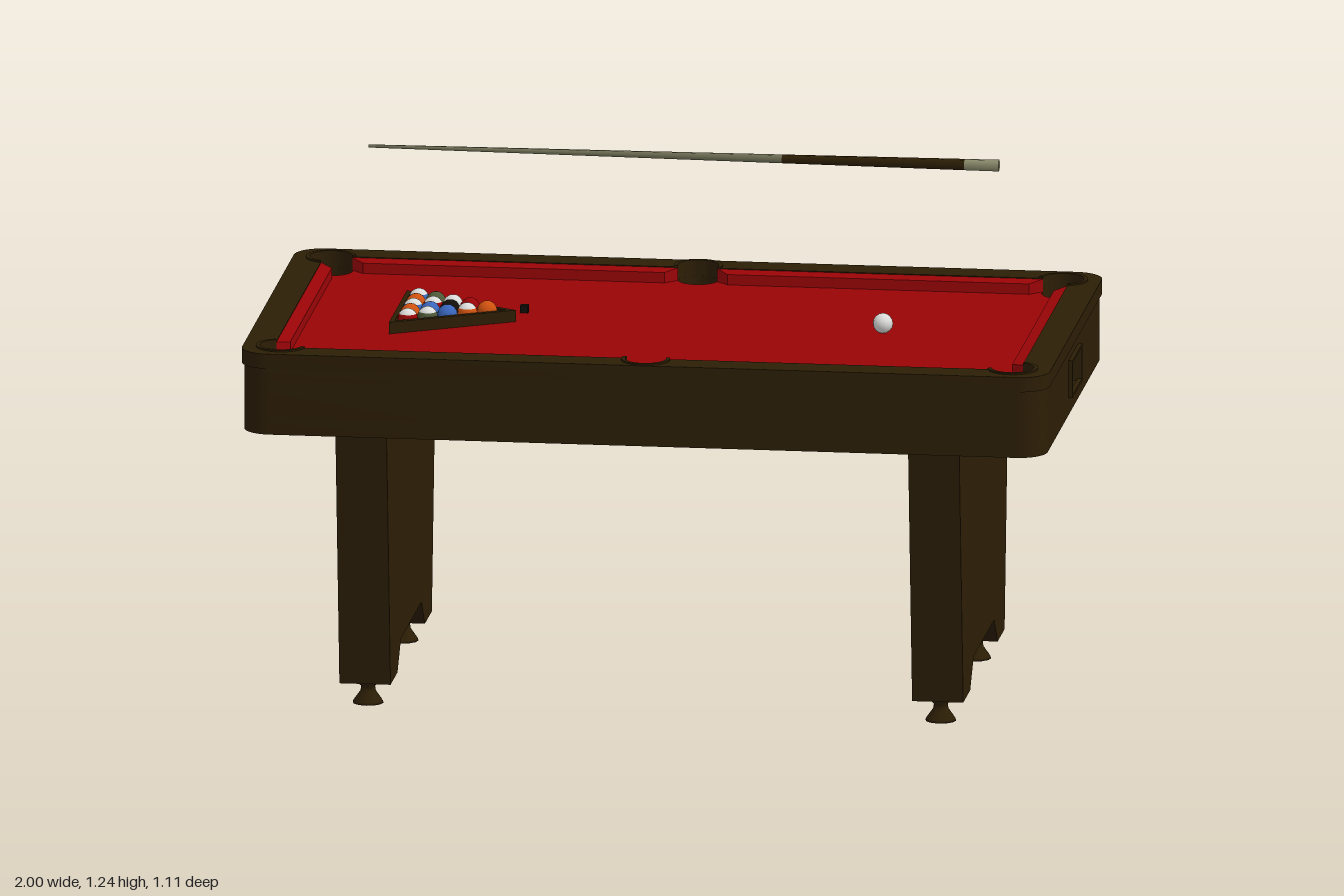
import * as THREE from 'three';
import { toCreasedNormals } from 'three/addons/utils/BufferGeometryUtils.js';

const PI = Math.PI;
const mat = (name, color, side = THREE.FrontSide) => {
  const m = new THREE.MeshStandardMaterial({ color, side });
  m.name = name;
  return m;
};

export function createModel() {
  const model = new THREE.Group();
  model.name = 'billiardTable';
  const wood = mat('darkWood', 0x2c1e05, THREE.DoubleSide);
  const felt = mat('redFelt', 0x9a0406);
  const white = mat('ballWhite', 0xdcdcda);
  const orange = mat('ballOrange', 0xd0520f);
  const blue = mat('ballBlue', 0x3a66bc);
  const olive = mat('ballOlive', 0x4f5a38);
  const maple = mat('cueShaft', 0x6f6f55);
  const pale = mat('cueButt', 0x8a8a6c);
  const black = mat('ballBlack', 0x120e08);

  const add = (name, geo, material, x = 0, y = 0, z = 0, parent = model) => {
    const m = new THREE.Mesh(geo, material);
    m.name = name;
    m.position.set(x, y, z);
    parent.add(m);
    return m;
  };
  const poly = (pts) => new THREE.Shape(pts.map(([x, y]) => new THREE.Vector2(x, y)));
  const rect = (w, d) => poly([[w, -d], [w, d], [-w, d], [-w, -d]]);
  // plan shape (x, -z) raised from y0 to y1
  const slab = (shape, y0, y1) => {
    const g = new THREE.ExtrudeGeometry(shape, { depth: y1 - y0, bevelEnabled: false, curveSegments: 10 });
    g.rotateX(-PI / 2).translate(0, y0, 0);
    return toCreasedNormals(g, 0.6);
  };
  // rounded plan outline, optionally notched at both ends
  const outline = (w, d, r, notch) => {
    const s = new THREE.Shape();
    [[1, 1], [-1, 1], [-1, -1], [1, -1]].forEach(([sx, sy], i) => {
      s.absarc(sx * (w - r), sy * (d - r), r, i * PI / 2, (i + 1) * PI / 2, false);
      if (notch && i % 2 === 1) {
        const n = 0.082;
        [[w, -n], [w - 0.16, -n], [w - 0.16, n], [w, n]].forEach(([x, y]) => s.lineTo(sx * x, sx * y));
      }
    });
    return s;
  };

  // pockets: centre, radius and arc lying outside the playing rectangle
  const W = 0.92, D = 0.476, CX = 0.902, CZ = 0.465, SZ = 0.49, RC = 0.052, RS = 0.05;
  const a = Math.asin((SZ - D) / RS), b = Math.acos((W - CX) / RC), c = Math.asin((D - CZ) / RC);
  const pockets = [
    [CX, CZ, RC, -b, PI - c], [0, SZ, RS, -a, PI + a], [-CX, CZ, RC, c, PI + b],
    [-CX, -CZ, RC, PI - b, 2 * PI - c], [0, -SZ, RS, PI - a, 2 * PI + a], [CX, -CZ, RC, PI + c, 2 * PI + b],
  ];
  const playArea = (shape, inward) => {
    pockets.forEach(([x, y, r, s, e]) => shape.absarc(x, y, r, s, e, inward));
    shape.closePath();
    return shape;
  };

  // cabinet in three layers: base, layer with ball returns, pocket layer
  const base = outline(0.99, 0.55, 0.07);
  base.holes.push(rect(0.77, 0.5));
  add('cabinetBase', slab(base, 0.72, 0.765), wood);
  const middle = outline(0.99, 0.55, 0.07, true);
  middle.holes.push(rect(0.77, 0.5));
  add('cabinetMiddle', slab(middle, 0.765, 0.855), wood);
  const upper = outline(0.99, 0.55, 0.07);
  pockets.forEach(([x, y, r]) => {
    const h = new THREE.Path();
    h.absarc(x, y, r, 0, 2 * PI, false);
    upper.holes.push(h);
  });
  add('cabinetTop', slab(upper, 0.855, 0.886), wood);
  add('underside', new THREE.BoxGeometry(1.56, 0.014, 1.02), wood, 0, 0.848, 0);

  // ball return frames and linings at both ends
  const frame = rect(0.093, 0.047);
  frame.holes.push(rect(0.084, 0.04));
  for (const s of [1, -1]) {
    const g = new THREE.ExtrudeGeometry(frame, { depth: 0.012, bevelEnabled: false });
    g.rotateY(PI / 2);
    add('returnFrame', g, wood, s * 0.994 - 0.006, 0.81, 0);
    add('returnLining', new THREE.BoxGeometry(0.15, 0.004, 0.16), felt, s * 0.91, 0.852, 0);
  }

  // playing bed, rail and pocket rims
  add('bed', slab(playArea(new THREE.Shape(), true), 0.885, 0.889), felt);
  const rail = outline(0.996, 0.553, 0.072);
  rail.holes.push(playArea(new THREE.Path(), false));
  add('rail', slab(rail, 0.886, 0.923), wood);
  pockets.forEach(([x, y, r, s, e]) => {
    const rim = new THREE.Shape();
    rim.absarc(x, y, r + 0.01, s, e, false);
    rim.absarc(x, y, r, e, s, true);
    add('pocketRim', slab(rim, 0.921, 0.927), wood);
  });

  // cushions, mitred at the pockets, with the top sloping to the nose
  const cushion = (len, x, z, turn) => {
    const h = len / 2, t = 0.03;
    const g = slab(poly([[-h, 0], [h, 0], [h - t, t], [-h + t, t]]), 0.888, 0.921);
    const p = g.attributes.position;
    for (let i = 0; i < p.count; i++) {
      if (p.getZ(i) < -0.02 && p.getY(i) > 0.9) p.setY(i, 0.915);
    }
    g.computeVertexNormals();
    add('cushion', g, felt, x, 0, z).rotation.y = turn;
  };
  const cornerEnd = CX - RC * Math.cos(c), sideEnd = RS * Math.cos(a);
  for (const s of [1, -1]) {
    cushion(2 * (CZ - RC * Math.sin(b)), s * W, 0, s * PI / 2);
    for (const k of [1, -1]) {
      cushion(cornerEnd - sideEnd, k * (cornerEnd + sideEnd) / 2, s * D, s > 0 ? 0 : PI);
    }
  }

  // panel legs with a cut-out foot line, and levelling feet
  const legShape = poly([[0.385, 0.06], [0.475, 0.845], [-0.475, 0.845], [-0.385, 0.06],
    [-0.255, 0.06], [-0.19, 0.13], [0.19, 0.13], [0.255, 0.06]]);
  const legGeo = new THREE.ExtrudeGeometry(legShape, { depth: 0.126, bevelEnabled: false });
  legGeo.translate(0, 0, -0.063).rotateY(PI / 2);
  const footGeo = new THREE.LatheGeometry([[0, 0], [0.038, 0], [0.036, 0.006], [0.019, 0.03], [0.017, 0.042],
    [0.026, 0.05], [0.026, 0.062]].map(([x, y]) => new THREE.Vector2(x, y)), 12);
  for (const s of [1, -1]) {
    add('leg', legGeo, wood, s * 0.706, 0, 0);
    for (const k of [1, -1]) add('foot', footGeo, wood, s * 0.706, 0, k * 0.325);
  }

  // triangular rack
  const rack = poly([[-0.676, -0.168], [-0.385, 0], [-0.676, 0.168]]);
  rack.holes.push(poly([[-0.664, -0.146], [-0.409, 0], [-0.664, 0.146]]));
  add('rack', slab(rack, 0.889, 0.918), wood);

  // balls: plain, or white with a coloured band
  const R = 0.025;
  const plain = new THREE.SphereGeometry(R, 12, 8);
  const cap = new THREE.SphereGeometry(R, 12, 4, 0, 2 * PI, 0, 1.05);
  const band = new THREE.SphereGeometry(R, 12, 4, 0, 2 * PI, 1.05, PI - 2.1);
  const ball = (x, z, color, striped) => {
    const g = new THREE.Group();
    g.name = 'ball';
    g.position.set(x, 0.889 + R, z);
    if (striped) {
      add('ballTop', cap, white, 0, 0, 0, g);
      add('ballBottom', cap, white, 0, 0, 0, g).rotation.x = PI;
      add('ballBand', band, color, 0, 0, 0, g);
    } else add('ballBody', plain, color, 0, 0, 0, g);
    model.add(g);
  };
  const rows = [
    [[orange]],
    [[felt], [orange, 1]],
    [[white], [black], [blue]],
    [[olive], [felt, 1], [blue], [olive, 1]],
    [[blue, 1], [orange], [blue, 1], [orange], [felt, 1]],
  ];
  rows.forEach((row, i) => row.forEach(([color, striped], j) =>
    ball(-0.456 - i * 0.0455, (j - i / 2) * 0.0525 - 0.003, color, striped)));
  ball(0.52, 0, white);

  // chalk cube
  add('chalk', new THREE.BoxGeometry(0.02, 0.018, 0.02), black, -0.377, 0.898, -0.1);

  // cue floating above the table, tapering towards the left end
  const radius = (x) => 0.004 + (x + 0.8) / 1.555 * 0.011;
  const cuePart = (name, x0, x1, material) => {
    const g = new THREE.CylinderGeometry(radius(x1), radius(x0), x1 - x0, 6).rotateZ(-PI / 2);
    add(name, g, material, (x0 + x1) / 2, 1.224, -0.39);
  };
  cuePart('cueShaft', -0.8, 0.22, maple);
  cuePart('cueHandle', 0.22, 0.67, wood);
  cuePart('cueButt', 0.67, 0.755, pale);

  return model;
}
